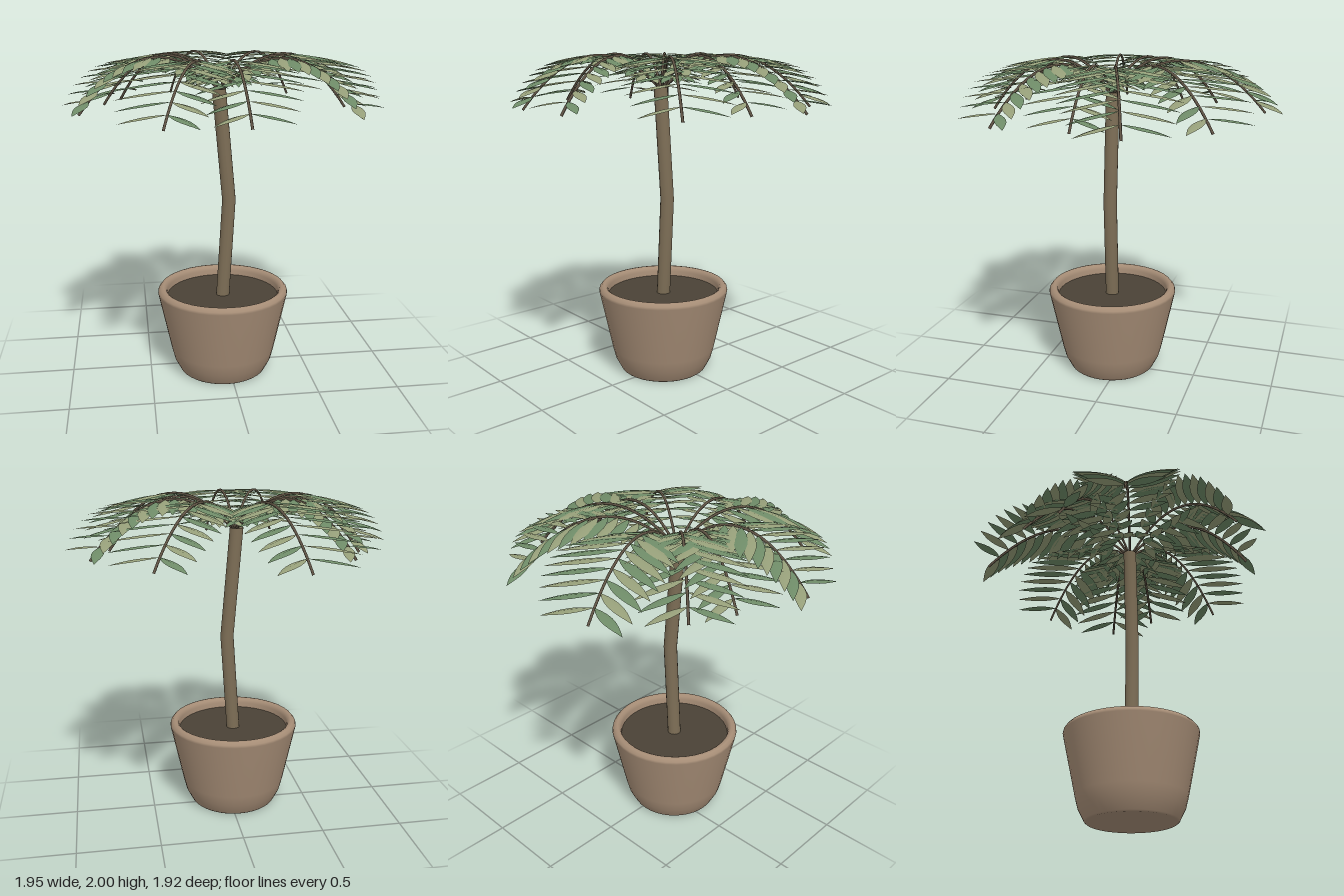
import * as THREE from 'three';
import { mergeGeometries } from 'three/addons/utils/BufferGeometryUtils.js';

const CX = -0.035, CZ = 0.06; // axis of the pot
const material = (color, side = THREE.FrontSide) => new THREE.MeshStandardMaterial({ color, side });

function part(name, geometry, mat) {
  const mesh = new THREE.Mesh(geometry, mat);
  mesh.name = name;
  return mesh;
}

// Unit leaflet along +x: pointed blade, folded on its midrib, drooping at the tip
function leafletGeometry() {
  const g = new THREE.PlaneGeometry(1, 1, 7, 2).rotateX(-Math.PI / 2).translate(0.5, 0, 0);
  const p = g.attributes.position;
  for (let i = 0; i < p.count; i++) {
    const u = p.getX(i);
    const z = p.getZ(i) * Math.sin(Math.PI * Math.pow(u, 0.9));
    p.setXYZ(i, u, -0.045 * u * u - 0.016 * Math.abs(z), z);
  }
  g.computeVertexNormals();
  return g;
}

// Frond growing along +x: arched stalk with leaflets on both sides
function makeFrond(length, leaflet, stalkMat, leafMats) {
  const frond = new THREE.Group();
  const curve = new THREE.QuadraticBezierCurve3(
    new THREE.Vector3(0, 0, 0),
    new THREE.Vector3(length * 0.5, 0.47, 0),
    new THREE.Vector3(length, -0.1, 0));
  frond.add(part('frondStalk', new THREE.TubeGeometry(curve, 20, 0.008, 6), stalkMat));

  const pairs = 14;
  const sets = [[], []];
  const m = new THREE.Matrix4();
  for (let i = 0; i < pairs; i++) {
    const t = 0.12 + 0.81 * i / (pairs - 1);
    const size = 0.37 * Math.sin(Math.PI * (0.06 + 0.74 * t)) * (0.4 + 0.6 * length / 0.85);
    const base = curve.getPoint(t);
    for (const side of [-1, 1]) {
      m.makeRotationY(side * 1.08).setPosition(base);
      m.scale(new THREE.Vector3(size, 1, 0.045 + 0.08 * size));
      sets[(i + (side > 0 ? 1 : 0)) % 2].push(leaflet.clone().applyMatrix4(m));
    }
  }
  sets.forEach((set, k) => frond.add(part(k ? 'lightLeaflets' : 'darkLeaflets', mergeGeometries(set), leafMats[k])));
  return frond;
}

export function createModel() {
  const model = new THREE.Group();
  model.name = 'pottedPalm';

  // Pot: tapered, bevelled foot and rounded rim
  const profile = [[0, 0], [0.265, 0], [0.275, 0.008], [0.312, 0.08], [0.33, 0.15], [0.41, 0.525], [0.407, 0.54],
    [0.392, 0.558], [0.375, 0.56], [0.36, 0.55], [0.352, 0.53], [0.348, 0.48]];
  const pot = part('pot', new THREE.LatheGeometry(profile.map(([r, y]) => new THREE.Vector2(r, y)), 40),
    material(0xa68d76, THREE.DoubleSide));
  pot.position.set(CX, 0, CZ);
  model.add(pot);

  const soil = part('soil', new THREE.CircleGeometry(0.352, 40).rotateX(-Math.PI / 2), material(0x4a4236));
  soil.position.set(CX, 0.5, CZ);
  model.add(soil);

  // Trunk: straight lower and upper lengths meeting in one bend
  const rings = [[-0.035, 0.48], [0.005, 1.12], [-0.055, 1.8]];
  const trunk = new THREE.CylinderGeometry(0.042, 0.042, 2, 16, 2);
  const p = trunk.attributes.position;
  for (let i = 0; i < p.count; i++) {
    const [x, y] = rings[Math.round(p.getY(i) + 1)];
    p.setXYZ(i, p.getX(i) + x, y, p.getZ(i) + CZ);
  }
  trunk.computeVertexNormals();
  model.add(part('trunk', trunk, material(0x7d6e56)));

  // Crown: fronds spread by the golden angle
  const crown = new THREE.Group();
  crown.name = 'crown';
  crown.position.set(-0.045, 1.78, CZ);
  const leaflet = leafletGeometry();
  const stalkMat = material(0x5f5344);
  const leafMats = [material(0x6f8c68, THREE.DoubleSide), material(0x97a07a, THREE.DoubleSide)];
  const lengths = [0.76, 0.8, 0.76, 0.91, 0.84, 0.87, 0.93, 0.83, 0.93, 0.75];
  lengths.forEach((length, i) => {
    const frond = makeFrond(length, leaflet, stalkMat, leafMats);
    frond.name = 'frond' + (i + 1);
    frond.rotation.y = i * 137.5 * Math.PI / 180;
    crown.add(frond);
  });
  model.add(crown);
  return model;
}
